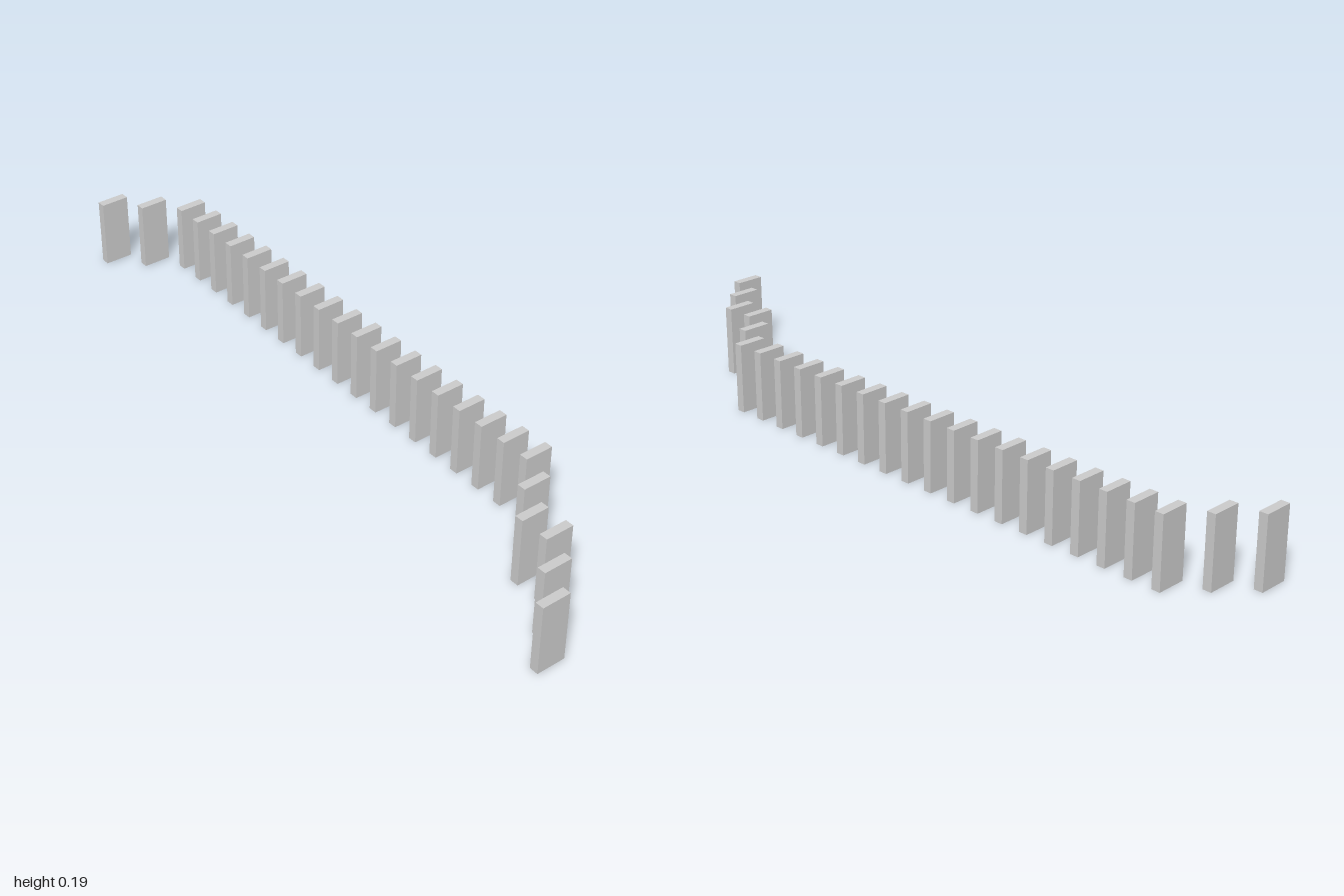
import * as THREE from 'three';

const CELL = 2 / 25.3;        // grid pitch along x and z
const HEIGHT = 2.4 * CELL;
const DEPTH = 0.3 * CELL;

// Sideways grid column of each domino, from the back row to the front row
const COLUMNS = [0, 1, ...Array(19).fill(2), 1, 0, 0, -1, -2];

export function createModel() {
  const group = new THREE.Group();
  group.name = 'dominoRow';
  const material = new THREE.MeshStandardMaterial({ color: 0xcccccc });
  const geometry = new THREE.BoxGeometry(CELL, HEIGHT, DEPTH);

  // One upright slab per row
  COLUMNS.forEach((column, row) => {
    const domino = new THREE.Mesh(geometry, material);
    domino.name = `domino${row + 1}`;
    domino.position.set(column * CELL, HEIGHT / 2, (row - (COLUMNS.length - 1) / 2) * CELL);
    group.add(domino);
  });
  return group;
}
